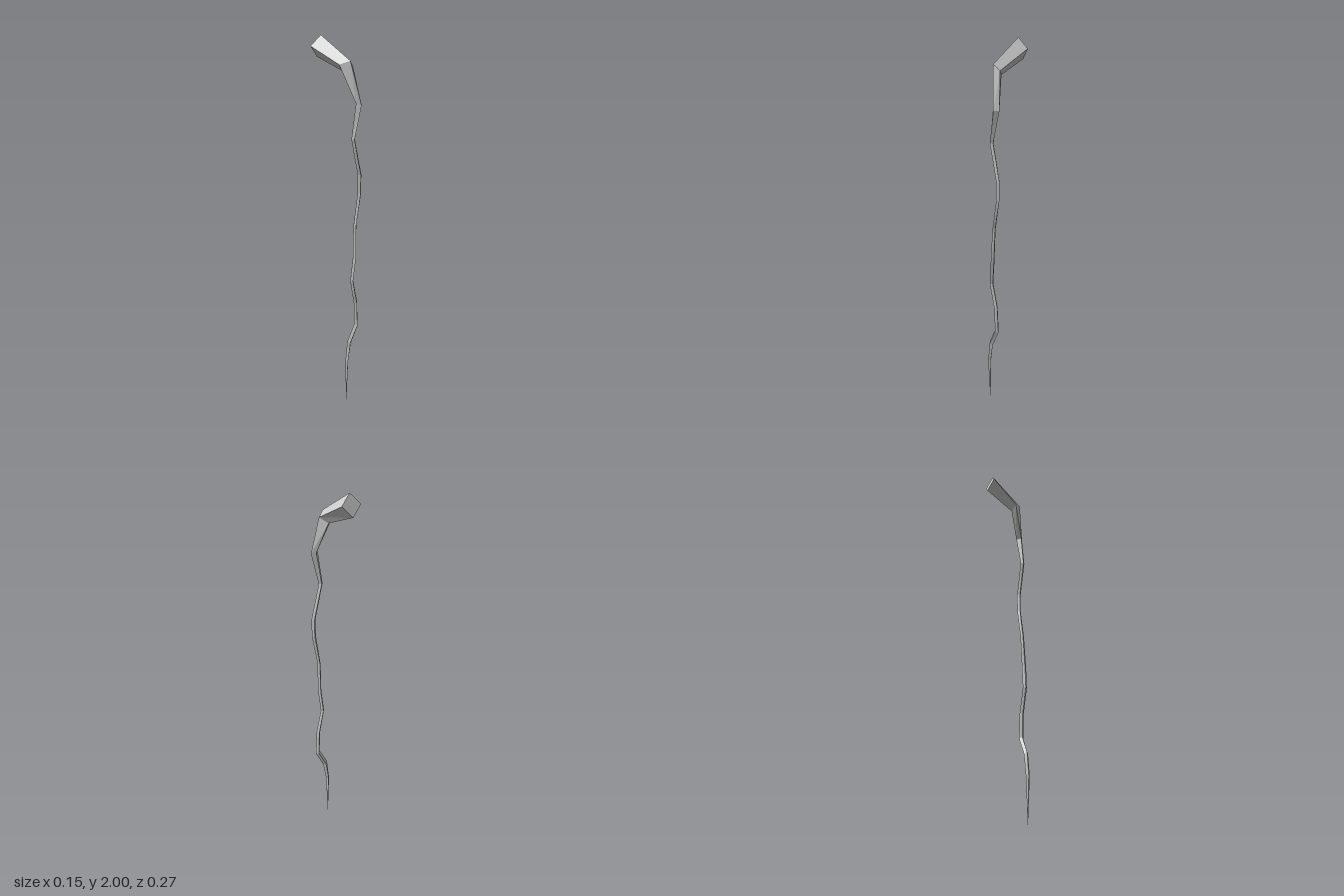
import * as THREE from 'three';

// Skins four-cornered rings (right, front, left, back; bottom to top) with flat faces and end caps.
function skinRings(rings) {
  const pos = [];
  const quad = (a, b, c, d) => pos.push(...a, ...b, ...c, ...a, ...c, ...d);
  for (let k = 0; k < rings.length - 1; k++) {
    const lo = rings[k], hi = rings[k + 1];
    for (let i = 0; i < 4; i++) {
      const j = (i + 1) % 4;
      quad(lo[j], lo[i], hi[i], hi[j]);
    }
  }
  const first = rings[0], last = rings[rings.length - 1];
  quad(first[0], first[1], first[2], first[3]);
  quad(last[0], last[3], last[2], last[1]);
  const geo = new THREE.BufferGeometry();
  geo.setAttribute('position', new THREE.Float32BufferAttribute(pos, 3));
  geo.computeVertexNormals();
  return geo;
}

// Diamond section: centre, half widths in x and z, rise of the right corner
const diamond = ([x, y, z, rx, rz, tilt]) => [
  [x + rx, y + tilt, z], [x, y, z + rz], [x - rx, y - tilt, z], [x, y, z - rz],
];

export function createModel() {
  const group = new THREE.Group();
  group.name = 'crookedStick';
  const material = new THREE.MeshStandardMaterial({ color: 0xcccccc, flatShading: true });

  // Wavy shaft from the pointed tip up to the bend
  const shaft = [
    [-0.016, 0, 0.111, 0.001, 0.001, 0],
    [-0.017, 0.24, 0.114, 0.010, 0.011, 0],
    [-0.001, 0.355, 0.114, 0.012, 0.012, -0.009],
    [0.047, 0.447, 0.114, 0.012, 0.013, -0.008],
    [0.041, 0.585, 0.115, 0.011, 0.012, 0.004],
    [0.011, 0.72, 0.119, 0.010, 0.012, 0],
    [0.025, 0.85, 0.123, 0.010, 0.013, 0],
    [0.031, 1.03, 0.117, 0.010, 0.011, 0.008],
    [0.061, 1.2, 0.115, 0.012, 0.011, 0],
    [0.061, 1.3, 0.115, 0.012, 0.011, 0],
    [0.016, 1.49, 0.116, 0.011, 0.012, 0],
  ].map(diamond);

  // Flaring handle: shoulder, elbow and blunt end, leaning towards the back
  const handle = [
    [[0.072, 1.66, 0.112], [0.053, 1.66, 0.136], [0.031, 1.67, 0.118], [0.05, 1.665, 0.096]],
    [[0.041, 1.85, 0.08], [0.01, 1.88, 0.098], [-0.025, 1.86, 0.052], [0.008, 1.825, 0.042]],
    [[0.026, 1.945, -0.12], [-0.026, 2, -0.102], [-0.078, 1.945, -0.12], [-0.026, 1.89, -0.137]],
  ];

  const stick = new THREE.Mesh(skinRings([...shaft, ...handle]), material);
  stick.name = 'shaftAndHandle';
  group.add(stick);
  return group;
}
